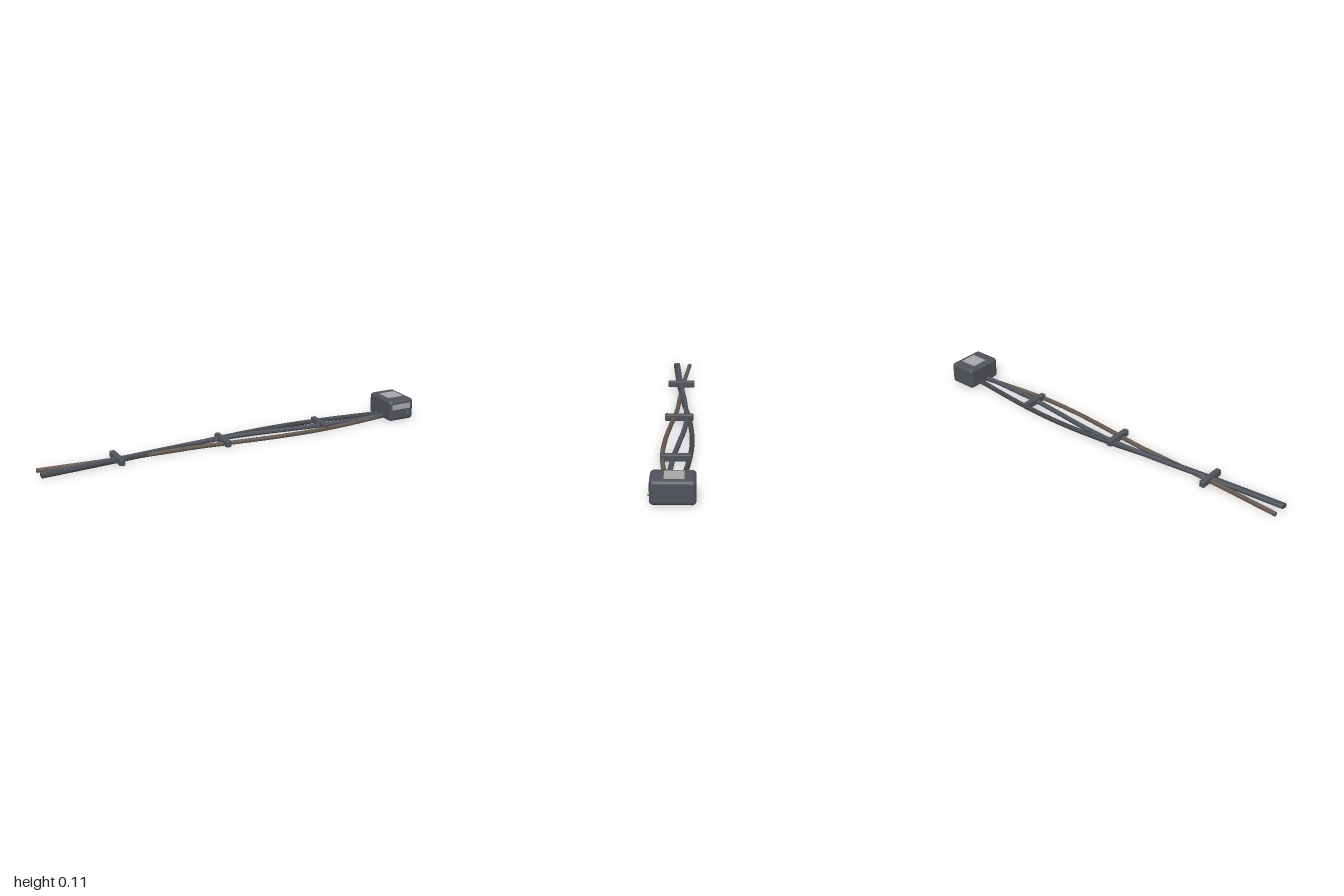
import * as THREE from 'three';
import { RoundedBoxGeometry } from 'three/addons/geometries/RoundedBoxGeometry.js';

const material = (color) => new THREE.MeshStandardMaterial({ color });

export function createModel() {
  const model = new THREE.Group();
  const casing = material(0x50535a);
  const labelGrey = material(0xa8a8a8);

  const add = (parent, name, geometry, mat, x = 0, y = 0, z = 0) => {
    const mesh = new THREE.Mesh(geometry, mat);
    mesh.name = name;
    mesh.position.set(x, y, z);
    parent.add(mesh);
    return mesh;
  };

  // Round cable through [x, z] points, with capped ends
  const addCable = (name, y, radius, color, points) => {
    const cable = new THREE.Group();
    cable.name = name;
    const mat = material(color);
    const path = new THREE.CatmullRomCurve3(points.map(([x, z]) => new THREE.Vector3(x, y, z)));
    add(cable, name + 'Sheath', new THREE.TubeGeometry(path, 80, radius, 10), mat);
    for (const t of [0, 1]) {
      const p = path.getPointAt(t);
      const cap = add(cable, name + 'End', new THREE.CircleGeometry(radius, 10), mat, p.x, p.y, p.z);
      const outward = path.getTangentAt(t).multiplyScalar(t ? 1 : -1);
      cap.quaternion.setFromUnitVectors(new THREE.Vector3(0, 0, 1), outward);
    }
    model.add(cable);
  };

  // Three loosely crossing cables
  addCable('backCable', 0.016, 0.012, 0x45484d, [
    [-1, 0.037], [-0.62, 0.008], [-0.3, -0.024], [-0.06, -0.055],
    [0.25, -0.074], [0.5, -0.065], [0.9, -0.02]]);
  addCable('middleCable', 0.018, 0.012, 0x50535e, [
    [-1, 0.024], [-0.62, -0.002], [-0.3, -0.03], [-0.06, -0.042],
    [0.1, -0.035], [0.3, -0.012], [0.5, 0.01], [0.7, 0.02], [0.9, 0.022]]);
  addCable('frontCable', 0.014, 0.011, 0x655a52, [
    [-1, -0.043], [-0.62, -0.013], [-0.4, -0.001], [-0.2, 0.008],
    [0, 0.03], [0.22, 0.052], [0.42, 0.06], [0.6, 0.05], [0.9, 0.013]]);

  // Clips across the cables
  for (const x of [-0.617, -0.062, 0.492]) {
    add(model, 'cableClip', new RoundedBoxGeometry(0.028, 0.034, 0.142, 2, 0.006), casing, x, 0.023, -0.005);
  }

  // Connector housing with labels and indicator light
  const housing = new THREE.Group();
  housing.name = 'connectorHousing';
  model.add(housing);
  add(housing, 'housingBody', new RoundedBoxGeometry(0.145, 0.11, 0.196, 4, 0.018), casing, 0.9275, 0.058, -0.003);
  add(housing, 'topLabel', new THREE.BoxGeometry(0.09, 0.002, 0.086), labelGrey, 0.927, 0.1135, -0.008);
  add(housing, 'frontLabel', new THREE.BoxGeometry(0.108, 0.028, 0.002), labelGrey, 0.924, 0.079, 0.0955);
  add(housing, 'indicatorLight', new THREE.SphereGeometry(0.006, 12, 8), material(0x4f8f68), 0.967, 0.04, 0.096);

  return model;
}
